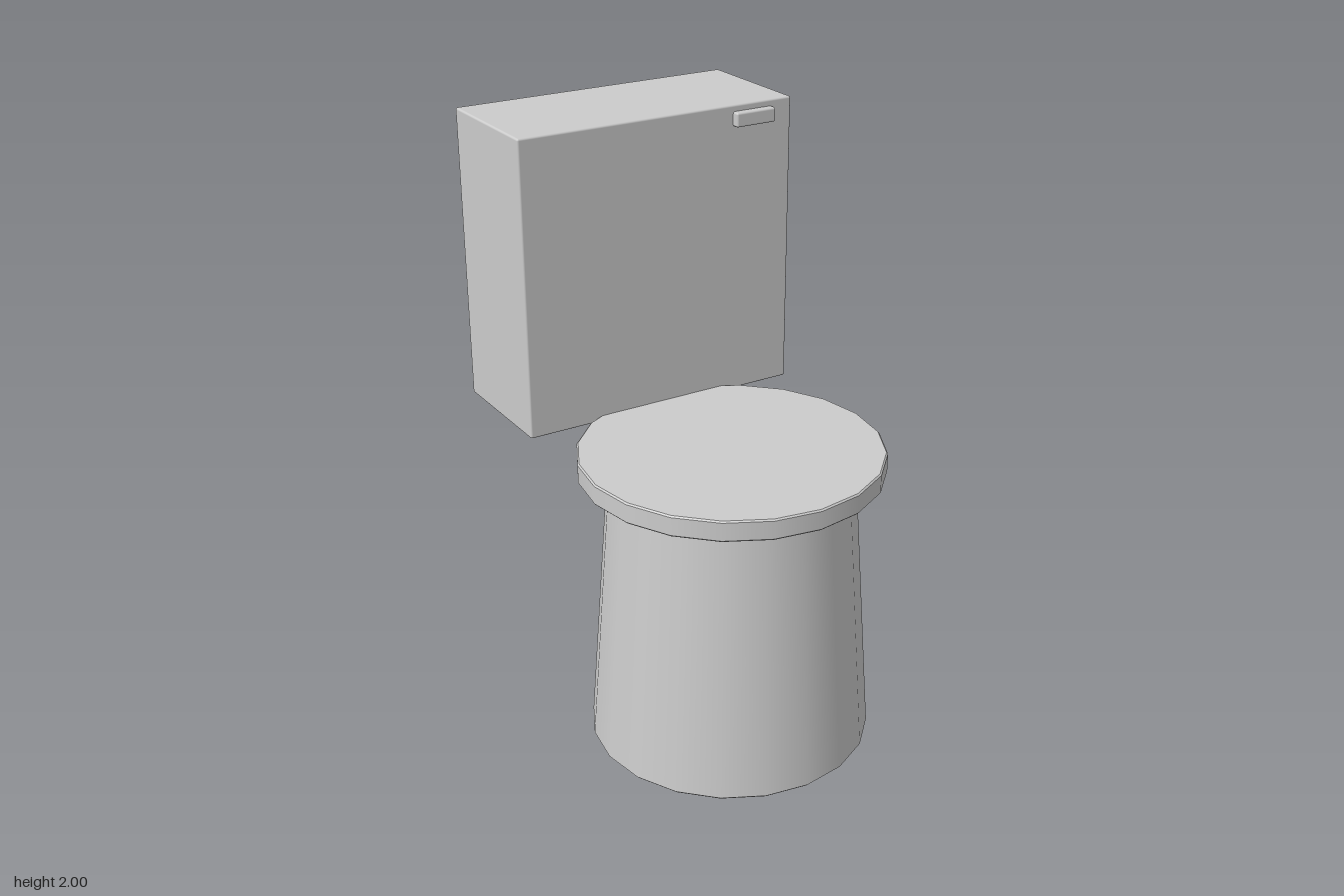
import * as THREE from 'three';
import { RoundedBoxGeometry } from 'three/addons/geometries/RoundedBoxGeometry.js';

export function createModel() {
  const model = new THREE.Group();
  model.name = 'toilet';
  const porcelain = new THREE.MeshStandardMaterial({ color: 0xcccccc });
  porcelain.name = 'porcelain';

  function add(name, geometry, x, y, z) {
    const mesh = new THREE.Mesh(geometry, porcelain);
    mesh.name = name;
    mesh.position.set(x, y, z);
    model.add(mesh);
  }

  // Solid round part with 20 sides and a narrow bevel on both rims
  function roundPart(bottomRadius, topRadius, height, bevel) {
    const b = bevel;
    const rim = [
      [bottomRadius - b, 0], [bottomRadius, b],
      [topRadius, height - b], [topRadius - b, height],
    ];
    // Doubled rim points keep the edges sharp
    const points = [[0, 0], ...rim.flatMap((p) => [p, p]), [0, height]];
    return new THREE.LatheGeometry(points.map(([r, y]) => new THREE.Vector2(r, y)), 20);
  }

  // Box given by its lower and upper corners
  function box(name, min, max, radius) {
    const size = max.map((v, i) => v - min[i]);
    const centre = max.map((v, i) => (v + min[i]) / 2);
    add(name, new RoundedBoxGeometry(...size, 2, radius), ...centre);
  }

  // Tapered pedestal and round seat lid
  add('pedestal', roundPart(0.47, 0.4, 0.957, 0.007), 0, 0, 0.187);
  add('seatLid', roundPart(0.497, 0.497, 0.07, 0.005), 0, 0.955, 0.187);

  // Cistern and flush handle
  box('cistern', [-0.497, 1.005, -0.685], [0.497, 2, -0.24], 0.007);
  box('flushHandle', [0.273, 1.93, -0.265], [0.422, 1.978, -0.215], 0.007);

  return model;
}
